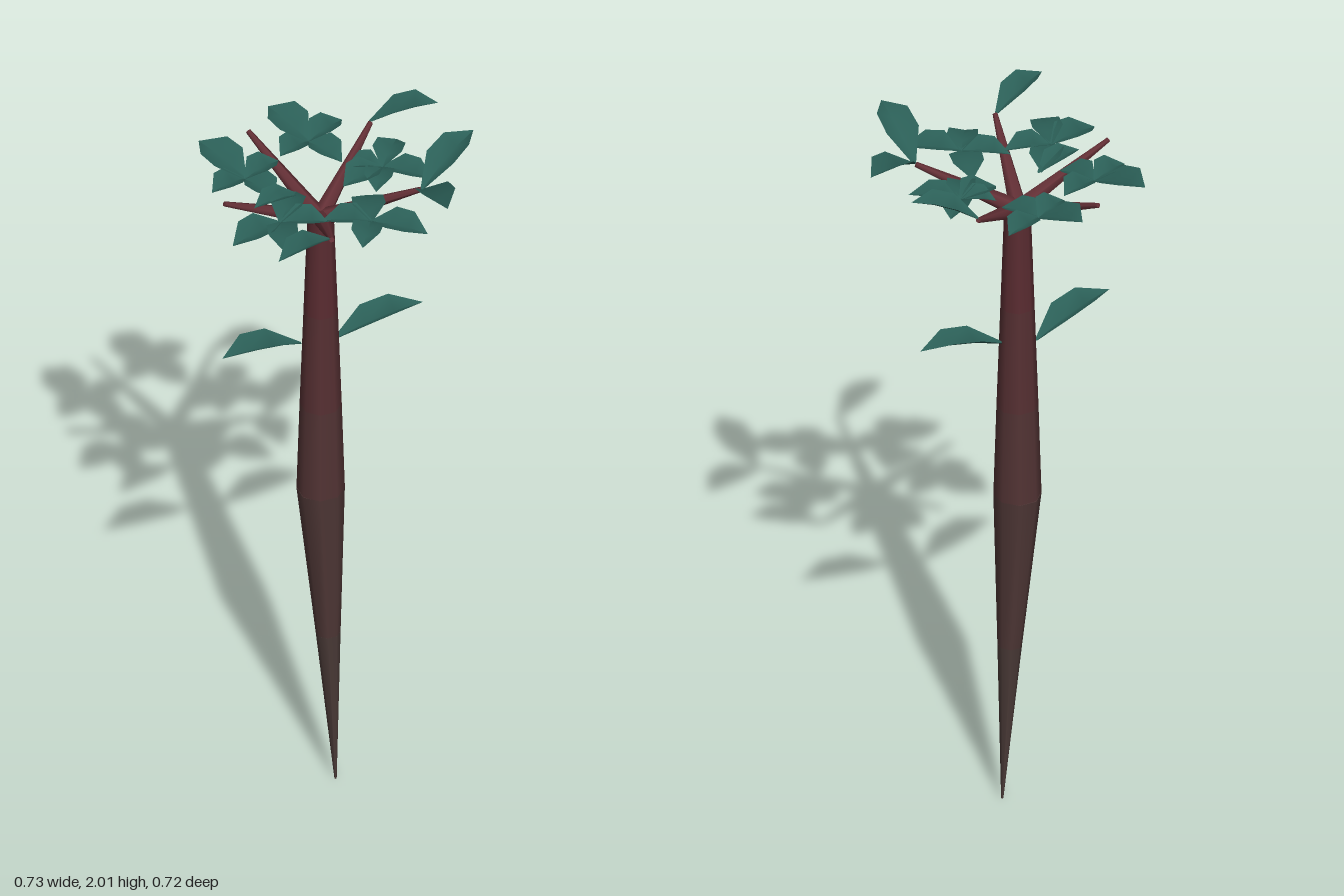
import * as THREE from 'three';

const leafMaterial = new THREE.MeshStandardMaterial({ color: 0x2b5f57, side: THREE.DoubleSide });
const branchMaterial = new THREE.MeshStandardMaterial({ color: 0x64303a });
branchMaterial.color.set(0x643036);

// Tapered round limb between two points
function limb(name, a, b, ra, rb, sides, material) {
  const from = new THREE.Vector3(...a), to = new THREE.Vector3(...b);
  const axis = to.clone().sub(from);
  const mesh = new THREE.Mesh(new THREE.CylinderGeometry(rb, ra, axis.length(), sides), material);
  mesh.name = name;
  mesh.position.copy(from).add(to).multiplyScalar(0.5);
  mesh.quaternion.setFromUnitVectors(new THREE.Vector3(0, 1, 0), axis.normalize());
  return mesh;
}

// Pointed leaf, folded along a lower midrib, with arched edges
function leaf(name, base, tip, halfWidth, fold = 0.028, arch = 0.012) {
  const a = new THREE.Vector3(...base), b = new THREE.Vector3(...tip);
  const side = new THREE.Vector3(b.z - a.z, 0, a.x - b.x).normalize();
  const stations = [[0, 0.1], [0.35, 0.95], [0.67, 0.9], [1, 0]];
  const points = [], index = [];
  stations.forEach(([t, w], i) => {
    const mid = a.clone().lerp(b, t);
    mid.y += arch * Math.sin(Math.PI * t);
    for (const s of [-1, 0, 1]) {
      const p = mid.clone().addScaledVector(side, s * w * halfWidth);
      if (s) p.y += fold * w;
      points.push(p);
    }
    if (i === 0) return;
    for (const s of [0, 1]) {
      const p = (i - 1) * 3 + s, q = p + 3;
      index.push(p, p + 1, q + 1);
      if (i < 3) index.push(p, q + 1, q);
      else index.splice(-3, 3, p, p + 1, q);
    }
  });
  const geometry = new THREE.BufferGeometry().setFromPoints(points);
  geometry.setIndex(index);
  geometry.computeVertexNormals();
  const mesh = new THREE.Mesh(geometry, leafMaterial);
  mesh.name = name;
  return mesh;
}

export function createModel() {
  const model = new THREE.Group();
  model.name = 'plant';

  // Trunk: spindle tapering to a point, shifting from brown to dark red
  const trunk = new THREE.Group();
  trunk.name = 'trunk';
  const rings = [
    [0, 0.005, -0.002, 0.003],
    [0.47, -0.006, -0.018, 0.032],
    [0.93, -0.016, -0.035, 0.062],
    [1.2, -0.016, -0.035, 0.054],
    [1.5, -0.016, -0.035, 0.044],
    [1.8, -0.016, -0.035, 0.034],
  ];
  for (let i = 0; i < rings.length - 1; i++) {
    const [y0, x0, z0, r0] = rings[i], [y1, x1, z1, r1] = rings[i + 1];
    const color = new THREE.Color(0x4a3a37).lerp(new THREE.Color(0x5a2c31), i / 4);
    trunk.add(limb('trunkSection', [x0, y0, z0], [x1, y1, z1], r0, r1, 8,
      new THREE.MeshStandardMaterial({ color })));
  }
  model.add(trunk);

  // Five branches fanning out of the trunk top
  const tips = [[-0.006, -0.31], [0.243, -0.117], [0.138, 0.175], [-0.175, 0.168], [-0.265, -0.133]];
  const branches = new THREE.Group();
  branches.name = 'branches';
  for (const [x, z] of tips) {
    branches.add(limb('branch', [-0.016, 1.795, -0.038], [x, 1.92, z], 0.024, 0.007, 6, branchMaterial));
  }
  model.add(branches);

  // Single leaves at the branch tips
  const tipLeaves = new THREE.Group();
  tipLeaves.name = 'tipLeaves';
  tipLeaves.add(
    leaf('tipLeaf', [0.24, 1.92, -0.12], [0.365, 1.985, 0.005], 0.042),
    leaf('tipLeaf', [0.138, 1.92, 0.178], [0.345, 1.99, 0.155], 0.046),
    leaf('tipLeaf', [0.14, 1.92, 0.178], [0.055, 2.0, 0.357], 0.048),
    leaf('tipLeaf', [-0.175, 1.92, 0.165], [-0.367, 1.953, 0.17], 0.039),
  );
  model.add(tipLeaves);

  // Star-shaped leaf clusters between the branches: centre, then tips as x, y, z, half width
  const clusters = [
    [[-0.126, -0.2], [[-0.135, 1.93, -0.36, 0.056], [-0.232, 1.895, -0.212, 0.042],
      [-0.015, 1.895, -0.19, 0.042], [-0.12, 1.88, -0.09, 0.045]]],
    [[0.1, -0.2], [[0.094, 1.93, -0.34, 0.056], [0.222, 1.895, -0.2, 0.042],
      [0, 1.895, -0.2, 0.042], [0.11, 1.88, -0.085, 0.045]]],
    [[0.16, 0.01], [[0.26, 1.9, -0.04, 0.042], [0.22, 1.885, 0.132, 0.045],
      [0.04, 1.88, -0.01, 0.05], [0.1, 1.885, -0.06, 0.04], [0.08, 1.885, 0.07, 0.04]]],
    [[-0.02, 0.155], [[0.05, 1.885, 0.29, 0.05], [-0.11, 1.885, 0.215, 0.042],
      [-0.1, 1.88, 0.055, 0.045], [0.055, 1.88, 0.055, 0.045]]],
    [[-0.19, -0.005], [[-0.338, 1.88, -0.028, 0.05], [-0.27, 1.89, 0.094, 0.042],
      [-0.095, 1.885, 0.075, 0.045], [-0.07, 1.89, -0.07, 0.045]]],
  ];
  for (const [[cx, cz], ends] of clusters) {
    const cluster = new THREE.Group();
    cluster.name = 'leafCluster';
    for (const [x, y, z, w] of ends) {
      cluster.add(leaf('clusterLeaf', [cx, 1.89, cz], [x, y, z], w, 0.022, 0.008));
    }
    model.add(cluster);
  }
  // Leaf lying over the rear left branch
  model.add(leaf('overlappingLeaf', [-0.07, 1.885, -0.06], [-0.205, 1.9, -0.085], 0.036, 0.02));

  // Pair of leaves halfway up the trunk
  model.add(
    leaf('lowerLeafLeft', [0.02, 1.395, -0.02], [0.245, 1.445, 0.073], 0.045, 0.03),
    leaf('lowerLeafRight', [-0.05, 1.39, -0.07], [-0.29, 1.445, -0.115], 0.045, 0.03),
  );
  return model;
}
